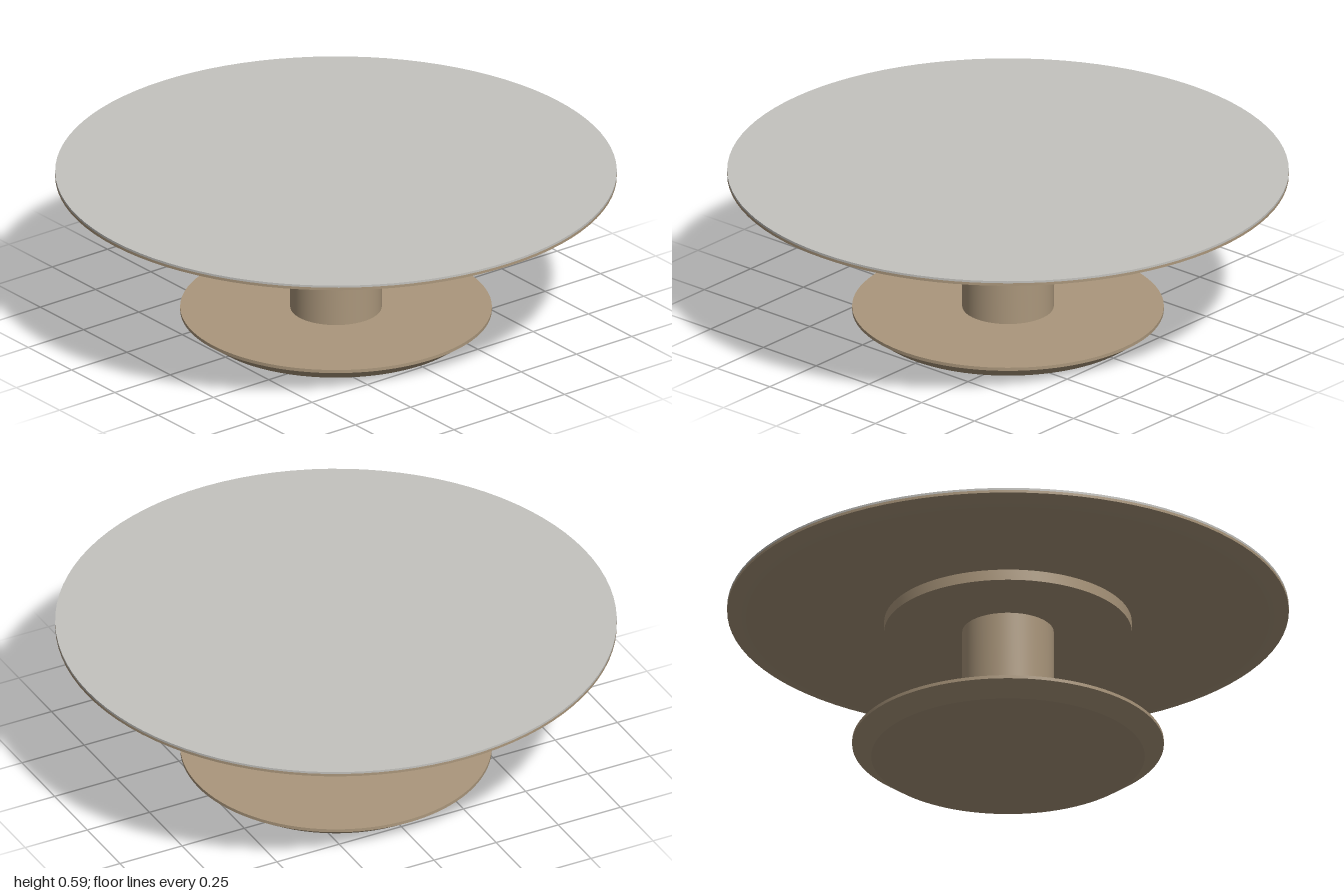
import * as THREE from 'three';
import { toCreasedNormals } from 'three/addons/utils/BufferGeometryUtils.js';

export function createModel() {
  const model = new THREE.Group();
  model.name = 'pedestalTable';

  const wood = new THREE.MeshStandardMaterial({ color: 0xab977c });
  wood.name = 'tan wood';
  const stone = new THREE.MeshStandardMaterial({ color: 0xc4c3bf });
  stone.name = 'pale grey top';

  // Turned part from a [radius, height] profile running bottom to top
  function turned(name, material, profile) {
    const points = profile.map(([r, y]) => new THREE.Vector2(r, y));
    const geometry = toCreasedNormals(new THREE.LatheGeometry(points, 96), 0.5);
    const mesh = new THREE.Mesh(geometry, material);
    mesh.name = name;
    model.add(mesh);
  }

  // Foot with a bevelled underside
  turned('base', wood, [[0, 0], [0.487, 0], [0.555, 0.048], [0.555, 0.06], [0, 0.06]]);
  // Central column
  turned('column', wood, [[0.163, 0.06], [0.163, 0.488]]);
  // Mounting disc under the top
  turned('supportDisc', wood, [[0, 0.488], [0.441, 0.488], [0.441, 0.528]]);
  // Table top with a wide bevel below a thin rim
  turned('tabletop', wood, [[0, 0.528], [0.89, 0.528], [1, 0.57], [1, 0.58]]);
  // Pale surface inlay
  turned('topSurface', stone, [[1, 0.58], [1, 0.588], [0, 0.588]]);

  return model;
}
